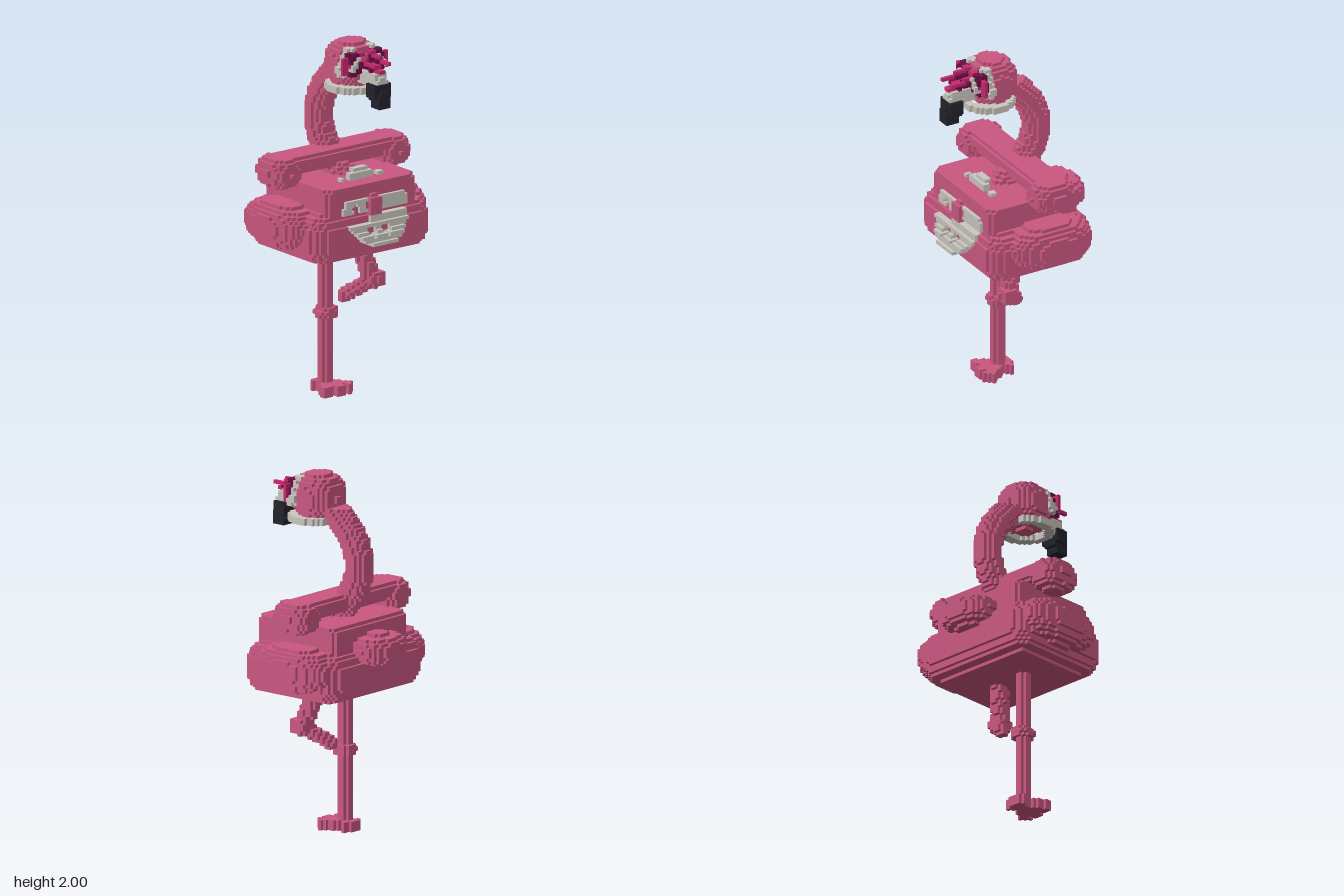
import * as THREE from 'three';

const S = 2 / 104; // block size
const mat = (name, color) => Object.assign(new THREE.MeshStandardMaterial({ color }), { name });
const V = (x, y, z) => new THREE.Vector3(x, y, z);

// ---- solid tests: each returns p => is the point inside? ----
const ball = (c, r, n = 2.4) => (p) => {
  const d = p.clone().sub(c).divide(r);
  return Math.abs(d.x) ** n + Math.abs(d.y) ** n + Math.abs(d.z) ** n <= 1;
};

const roundBox = (c, half, r) => {
  const box = new THREE.Box3(c.clone().sub(half), c.clone().add(half)).expandByScalar(-r);
  return (p) => box.distanceToPoint(p) <= r;
};

const rod = (r, a, b) => {
  const line = new THREE.Line3(a, b), near = V(0, 0, 0);
  return (p) => line.closestPointToPoint(p, true, near).distanceTo(p) <= r;
};

const any = (...tests) => (p) => tests.some((f) => f(p));
const mirror = (f) => (p) => f(V(Math.abs(p.x), p.y, p.z));

// S-bend following a parabola
const neck = (p) => {
  const t = p.y - 1.52, slope = 4.4 * t;
  const across = (p.z + 0.165 - 2.2 * t * t) / Math.hypot(1, slope);
  return p.y > 1.22 && p.y < 1.82 && Math.hypot(p.x, across) < 0.073;
};

// three toes fanned forward and a short heel
const foot = (p) => {
  const x = p.x + 0.09, z = p.z - 0.01;
  const toe = [-0.6, 0, 0.6].some((a) => {
    const along = x * Math.sin(a) + z * Math.cos(a);
    return along > -0.07 && along < 0.15 && Math.abs(x * Math.cos(a) - z * Math.sin(a)) < 0.03;
  });
  return p.y < 0.06 && toe;
};

// leaning belly disc, broken by blotches and the lid seam
const belly = ({ x, y, z }) => {
  const t = y - 1.09, front = 0.31 - t * 0.62;
  if (Math.hypot(x - 0.01, t * 1.1) > 0.215) return false;
  if (Math.abs(y - 1.075) < 0.01 || (y < 1.075 && y > 1.01 && x < -0.04)) return false;
  if (Math.hypot(Math.abs(x) - 0.045, y - 0.977) < 0.027 || Math.hypot(x + 0.12, y - 1.1) < 0.027) return false;
  if (y > 1.235) return z > front - 0.04 && z < front && Math.abs(Math.abs(x) - 0.09) > 0.02;
  return y < 1.145 && z > 0.285 && z < Math.max(front, y < 1.06 ? 0.345 : 0.325);
};

// ring under the head
const collar = ({ x, y, z }) => {
  const r = Math.hypot(x, z - 0.14);
  return y > 1.725 && y < 1.775 && z > 0.01 && r > 0.105 && r < 0.152;
};

// facets of a block: normal axis, sign and the two in-plane axes
const SIDES = [0, 1, 2].flatMap((a) => [1, -1].map((s) => ({ a, s, u: (a + 1) % 3, v: (a + 2) % 3 })));

// mesh of the exposed faces of a list of blocks
function blockMesh(cells, filled) {
  const pos = [], nor = [];
  for (const c of cells) for (const { a, s, u, v } of SIDES) {
    const next = [...c];
    next[a] += s;
    if (filled.has(next.join())) continue;
    const corner = (du, dv) => {
      const q = [...c];
      if (s > 0) q[a] += 1;
      q[u] += du;
      q[v] += dv;
      return q.map((t) => t * S);
    };
    const quad = [corner(0, 0), corner(1, 0), corner(1, 1), corner(0, 1)];
    if (s < 0) quad.reverse();
    for (const t of [0, 1, 2, 0, 2, 3]) {
      pos.push(...quad[t]);
      nor.push(...c.map((_, d) => (d === a ? s : 0)));
    }
  }
  const geo = new THREE.BufferGeometry();
  geo.setAttribute('position', new THREE.Float32BufferAttribute(pos, 3));
  geo.setAttribute('normal', new THREE.Float32BufferAttribute(nor, 3));
  return geo;
}

export function createModel() {
  const pink = mat('pink', 0xca5880), grey = mat('warmGrey', 0xcac6bf), magenta = mat('magenta', 0xc8286e);
  const plum = mat('plum', 0x6a0c42), black = mat('black', 0x22222b);

  // later parts replace earlier ones where they overlap
  const parts = [];
  const add = (name, material, ...tests) => parts.push({ name, material, inside: any(...tests), cells: [] });

  // trunk-shaped body
  add('body', pink,
    roundBox(V(0, 0.953, 0.02), V(0.4, 0.137, 0.322), 0.1),
    roundBox(V(0, 1.08, 0.03), V(0.315, 0.16, 0.285), 0.06));
  add('bellyPatch', grey, belly);
  add('clasp', pink, ball(V(0, 1.11, 0.32), V(0.05, 0.055, 0.035)));
  add('wings', pink, mirror(ball(V(0.37, 0.995, -0.02), V(0.13, 0.125, 0.25))));
  add('tail', pink, ball(V(0, 1.085, -0.3), V(0.165, 0.082, 0.125)));
  add('backRoll', pink,
    roundBox(V(0, 1.32, -0.04), V(0.4, 0.052, 0.09), 0.045),
    mirror(ball(V(0.375, 1.285, -0.038), V(0.098, 0.09, 0.125))));

  // legs
  add('standingLeg', pink, (p) => p.y < 0.84 && Math.hypot(p.x + 0.096, p.z - 0.019) < 0.036);
  add('standingKnee', pink, ball(V(-0.092, 0.45, 0.019), V(0.06, 0.035, 0.06)));
  add('foot', pink, foot);
  add('raisedLeg', pink,
    rod(0.046, V(0.11, 0.84, 0.04), V(0.15, 0.63, 0.1)),
    ball(V(0.165, 0.615, 0.11), V(0.055, 0.05, 0.055)),
    rod(0.036, V(0.15, 0.6, 0.1), V(0.05, 0.515, 0)));

  // neck and head
  add('neck', pink, neck);
  add('head', pink, ball(V(0, 1.87, 0.125), V(0.135, 0.132, 0.135)));
  add('collar', grey, collar);
  add('cheeks', grey, mirror(rod(0.032, V(0.07, 1.95, 0.2), V(0.125, 1.86, 0.2))));
  add('eyes', plum, mirror(ball(V(0.075, 1.9, 0.235), V(0.055, 0.068, 0.04))));
  add('lashes', magenta, mirror(any(
    rod(0.016, V(0.135, 1.93, 0.235), V(0.135, 1.85, 0.235)),
    rod(0.016, V(0.04, 1.95, 0.25), V(0.1, 1.9, 0.27)))));
  add('eyeGlints', grey, mirror(rod(0.014, V(0.06, 1.93, 0.28), V(0.11, 1.87, 0.27))));
  add('beakBase', grey, rod(0.046, V(0, 1.825, 0.24), V(0, 1.825, 0.36)));
  add('browRidge', plum, mirror(rod(0.02, V(0.08, 1.92, 0.25), V(0.02, 1.89, 0.34))));
  add('browSpikes', magenta, mirror(any(
    rod(0.016, V(0.01, 1.9, 0.24), V(0.01, 1.875, 0.38)),
    rod(0.013, V(0.05, 1.93, 0.26), V(0.05, 1.91, 0.39)))));
  add('beak', black,
    roundBox(V(0, 1.765, 0.365), V(0.05, 0.045, 0.045), 0.015),
    roundBox(V(0, 1.72, 0.38), V(0.035, 0.045, 0.035), 0.01));

  // fill the block grid
  const filled = new Set();
  for (let i = -26; i < 26; i++) for (let j = 0; j < 104; j++) for (let k = -23; k < 23; k++) {
    const p = V(i + 0.5, j + 0.5, k + 0.5).multiplyScalar(S);
    const part = parts.findLast((q) => q.inside(p));
    if (!part) continue;
    part.cells.push([i, j, k]);
    filled.add([i, j, k].join());
  }

  const model = new THREE.Group();
  model.name = 'wadingBird';
  for (const { name, material, cells } of parts) {
    const mesh = new THREE.Mesh(blockMesh(cells, filled), material);
    mesh.name = name;
    model.add(mesh);
  }
  return model;
}
